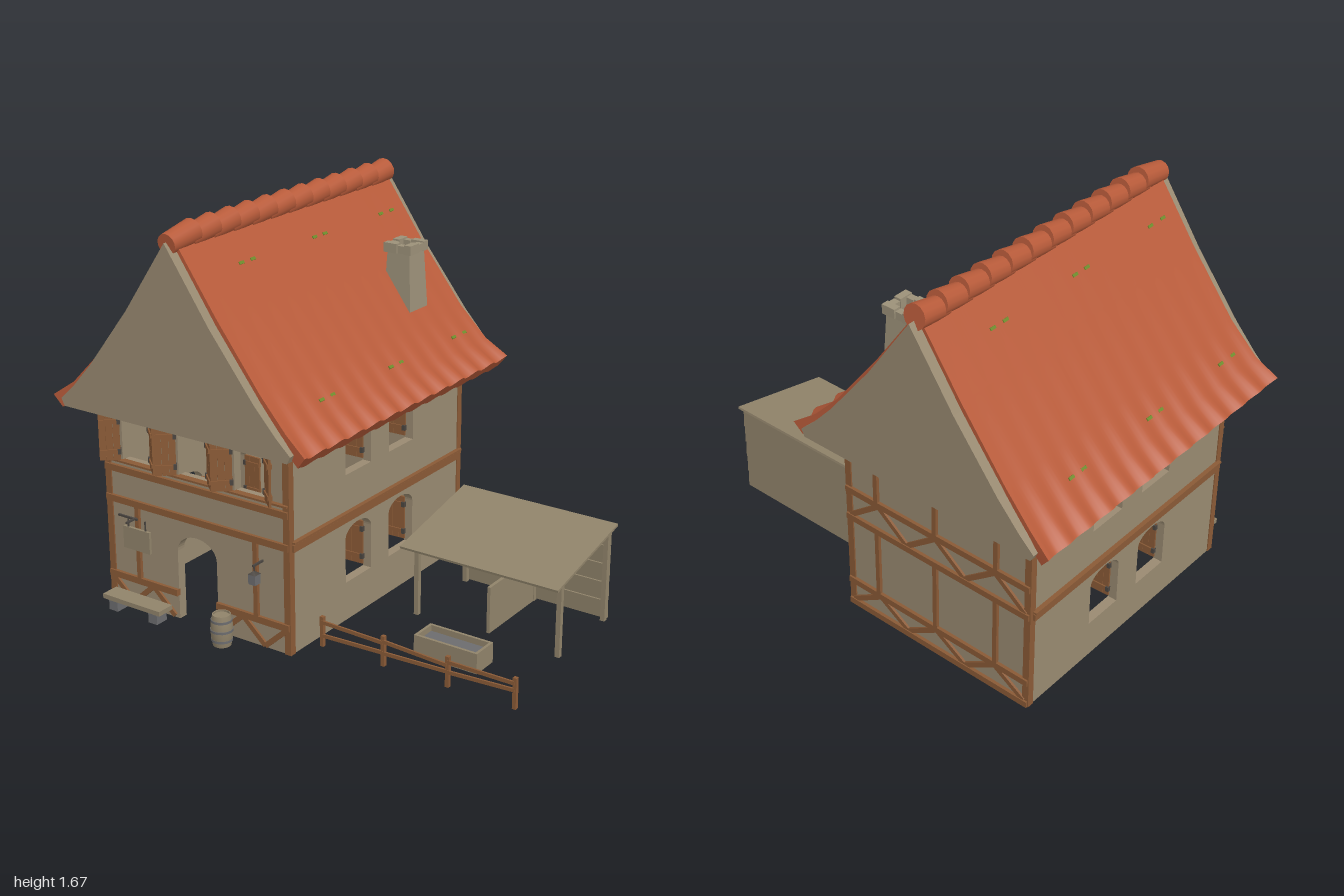
import * as THREE from 'three';
import { toCreasedNormals } from 'three/addons/utils/BufferGeometryUtils.js';

const mat = (name, color, side = THREE.FrontSide) =>
  Object.assign(new THREE.MeshStandardMaterial({ color, side }), { name });
const plaster = mat('plaster', 0x998a71);
const wood = mat('timber', 0x8a5a36);
const boards = mat('weathered boards', 0x90836a);
const tile = mat('roof tile', 0xb85b3a, THREE.DoubleSide);
const stone = mat('chimney stone', 0x9c9179, THREE.DoubleSide);
const iron = mat('iron', 0x4a4540);
const grey = mat('grey stone', 0x6c6c6e);
const moss = mat('moss', 0x6c8a2c);

const HOUSE_X = -0.39;

function add(parent, name, geo, material, x = 0, y = 0, z = 0) {
  const m = new THREE.Mesh(geo, material);
  m.name = name;
  m.position.set(x, y, z);
  parent.add(m);
  return m;
}
const box = (p, name, m, w, h, d, x, y, z) => add(p, name, new THREE.BoxGeometry(w, h, d), m, x, y, z);
function group(parent, name, x = 0, y = 0, z = 0, ry = 0) {
  const g = new THREE.Group();
  g.name = name;
  g.position.set(x, y, z);
  g.rotation.y = ry;
  parent.add(g);
  return g;
}
// straight bar between two points in the xy plane
function bar(p, name, m, x1, y1, x2, y2, w = 0.028, d = 0.02, z = 0.004) {
  const b = box(p, name, m, Math.hypot(x2 - x1, y2 - y1), w, d, (x1 + x2) / 2, (y1 + y2) / 2, z);
  b.rotation.z = Math.atan2(y2 - y1, x2 - x1);
  return b;
}
// arched opening: [centre, width, bottom, spring line, rise]
function arch([cx, w, y0, y1, rise]) {
  const p = new THREE.Path();
  p.moveTo(cx - w / 2, y0);
  p.lineTo(cx + w / 2, y0);
  p.lineTo(cx + w / 2, y1);
  p.absellipse(cx, y1, w / 2, rise, 0, Math.PI, false, 0);
  p.lineTo(cx - w / 2, y0);
  return p;
}
// wall with its outer face on local z = 0
function wall(parent, name, len, holes, x, z, ry, door) {
  const g = group(parent, name, x, 0, z, ry), h = len / 2, s = new THREE.Shape();
  s.moveTo(-h, 0);
  if (door) {
    const [cx, w, , y1, rise] = door;
    s.lineTo(cx - w / 2, 0);
    s.lineTo(cx - w / 2, y1);
    s.absellipse(cx, y1, w / 2, rise, Math.PI, 0, true, 0);
    s.lineTo(cx + w / 2, 0);
  }
  s.lineTo(h, 0); s.lineTo(h, 0.87); s.lineTo(-h, 0.87); s.closePath();
  s.holes = holes.map(arch);
  const geo = new THREE.ExtrudeGeometry(s, { depth: 0.04, bevelEnabled: false, curveSegments: 10 });
  add(g, name + 'Panel', geo.translate(0, 0, -0.04), plaster);
  return g;
}
// plank shutter hinged on its own origin, reaching along local +x
function shutter(parent, x, y, z, h, angle) {
  const g = group(parent, 'shutter', x, y, z, angle);
  for (let i = 0; i < 3; i++) box(g, 'shutterPlank', wood, 0.027, h, 0.01, 0.014 + i * 0.028, 0, 0);
  for (const k of [-0.32, 0.32]) {
    box(g, 'shutterBatten', wood, 0.08, 0.018, 0.02, 0.042, k * h, 0);
    box(g, 'hinge', iron, 0.014, 0.022, 0.024, 0.004, k * h, 0);
  }
}
function zigzag(g, x1, x2, n, y1, y2) {
  const s = (x2 - x1) / n;
  for (let i = 0; i < n; i++) {
    bar(g, 'brace', wood, x1 + i * s, i % 2 ? y2 : y1, x1 + (i + 1) * s, i % 2 ? y1 : y2, 0.022, 0.014, 0.003);
  }
}

function buildWalls(root) {
  const h = group(root, 'walls');
  const upper = [-0.29, 0, 0.28].map(x => [x, 0.16, 0.63, 0.815, 0.045]);
  const front = wall(h, 'frontWall', 0.92, upper, HOUSE_X, 0.61, 0, [0, 0.2, 0, 0.3, 0.078]);
  const back = wall(h, 'backWall', 0.92, [], HOUSE_X, -0.61, Math.PI);
  // front shutters swing outward
  for (const [x, w] of upper) {
    shutter(front, x - w / 2, 0.735, 0.012, 0.2, Math.PI + 0.72);
    shutter(front, x + w / 2, 0.735, 0.012, 0.2, -0.72);
  }
  // front timbers
  for (const y of [0.455, 0.59]) bar(front, 'frontBeam', wood, -0.46, y, 0.46, y);
  bar(front, 'windowSill', wood, -0.46, 0.627, 0.46, 0.627, 0.008, 0.03);
  for (const s of [-1, 1]) {
    bar(front, 'lowBeam', wood, s * 0.1, 0.117, s * 0.46, 0.117);
    bar(front, 'frontStud', wood, s * 0.3, 0.117, s * 0.3, 0.455, 0.02);
    zigzag(front, s * 0.12, s * 0.45, 3, 0.01, 0.11);
  }
  // back timbers
  for (const y of [0.014, 0.125, 0.455, 0.59, 0.845]) bar(back, 'backBeam', wood, -0.46, y, 0.46, y);
  for (const x of [-0.3, 0, 0.3]) {
    bar(back, 'backStud', wood, x, 0.125, x, 0.455, 0.02);
    bar(back, 'backStud', wood, x, 0.59, x, 0.845, 0.02);
  }
  zigzag(back, -0.44, 0.44, 6, 0.025, 0.118);
  zigzag(back, -0.44, 0.44, 6, 0.465, 0.58);
  // corner posts
  for (const sx of [-1, 1]) for (const sz of [-1, 1])
    box(h, 'cornerPost', wood, 0.03, 0.86, 0.03, HOUSE_X + sx * 0.449, 0.43, sz * 0.601);
  // side walls with shutters folded inward
  for (const s of [-1, 1]) {
    const holes = [];
    for (const c of [-0.153, 0.153]) holes.push([c, 0.178, 0.165, 0.355, 0.052], [c, 0.178, 0.63, 0.82, 0.045]);
    const side = wall(h, 'sideWall', 1.15, holes, HOUSE_X + s * 0.46, 0, s * Math.PI / 2);
    for (const [c, w, y0] of holes) {
      shutter(side, c - w / 2 + 0.003, y0 + 0.105, -0.035, 0.19, Math.PI / 2 - 0.04);
      shutter(side, c + w / 2 - 0.003, y0 + 0.105, -0.035, 0.19, Math.PI / 2 + 0.04);
    }
    bar(side, 'sideBeam', wood, -0.6, 0.45, 0.6, 0.45, 0.03);
    bar(side, 'sideLedge', wood, -0.6, 0.473, 0.6, 0.473, 0.008, 0.03);
  }
}

function buildRoof(root) {
  const roof = group(root, 'roof', HOUSE_X);
  // solid gable body
  const half = [[0.2, 1.315], [0.4, 1.06], [0.5, 0.95], [0.565, 0.89], [0.55, 0.86]];
  const pts = [[0, 1.605], ...half, ...half.map(([x, y]) => [-x, y]).reverse()];
  const s = new THREE.Shape(pts.map(p => new THREE.Vector2(...p)));
  add(roof, 'gableBody', new THREE.ExtrudeGeometry(s, { depth: 1.475, bevelEnabled: false }).translate(0, 0, -0.7375), plaster);
  // tiled slope: one cross-section repeated along z, waving near the eave
  const out = [[0, 1.63], [0.2, 1.345], [0.4, 1.085], [0.52, 0.955], [0.612, 0.882]];
  const ring = [...out, [0.577, 0.837], [0.487, 0.915], [0.365, 1.055], [0.165, 1.315], [0, 1.56]];
  const n = ring.length, steps = 96, pos = [], idx = [];
  for (let k = 0; k <= steps; k++) {
    const t = k / steps * 2 - 1, wave = Math.cos(t * Math.PI * 12);
    for (const [x, y] of ring) {
      const w = (x / 0.61) ** 6;
      pos.push(x + 0.008 * wave * w, y + 0.009 * wave * w, t * (0.695 + 0.028 * w));
    }
    for (let i = 0; i < n && k < steps; i++) {
      const a = k * n + i, b = k * n + (i + 1) % n;
      idx.push(a, a + n, b, b, a + n, b + n);
    }
  }
  for (const k of [0, steps]) for (let i = 0; i < n / 2 - 1; i++) {
    const a = k * n + i, c = k * n + n - 1 - i;
    idx.push(a, a + 1, c, a + 1, c - 1, c);
  }
  let geo = new THREE.BufferGeometry();
  geo.setAttribute('position', new THREE.Float32BufferAttribute(pos, 3));
  geo.setIndex(idx);
  geo = toCreasedNormals(geo, 0.7);
  for (const r of [0, Math.PI]) {
    const slope = group(roof, 'roofSlope', 0, 0, 0, r);
    add(slope, 'slopeTiles', geo, tile);
    // moss tufts
    for (const [x, y, a] of [[0.108, 1.477, 0.959], [0.478, 1.001, 0.825]])
      for (const z of [0.42, 0.35, -0.05, -0.12, -0.52, -0.6])
        box(slope, 'mossTuft', moss, 0.012, 0.006, 0.028, x, y, z).rotation.z = -a;
  }
  // overlapping ridge tiles
  const cap = new THREE.CylinderGeometry(0.042, 0.05, 0.15, 14).rotateX(Math.PI / 2);
  for (let i = 0; i < 12; i++) add(roof, 'ridgeTile', cap, tile, 0, 1.608, 0.648 - i * 0.1165).rotation.x = 0.15;
  // chimney: open tapered shaft with a ring of cap stones
  const ch = group(root, 'chimney', -0.088, 0, -0.418);
  add(ch, 'chimneyShaft', toCreasedNormals(
    new THREE.CylinderGeometry(0.076, 0.093, 0.25, 4, 1, true).rotateY(Math.PI / 4), 0.3), stone, 0, 1.255, 0);
  for (let i = 0; i < 4; i++) {
    const side = group(ch, 'capSide', 0, 1.39, 0, i * Math.PI / 2);
    box(side, 'capStone', stone, 0.062, 0.04, 0.032, -0.034, 0, 0.05);
    box(side, 'capStone', stone, 0.034, 0.032, 0.03, 0.018, -0.002, 0.049);
  }
}

function buildShed(root) {
  const shed = group(root, 'shed', 0.6);
  const roof = box(shed, 'shedRoof', boards, 0.715, 0.01, 0.495, 0, 0.368, -0.13);
  roof.rotation.x = 0.205;
  for (let i = 0; i < 5; i++)
    box(shed, 'wallPlank', boards, 0.67, 0.078, 0.012, 0, 0.045 + i * 0.08, -0.36).rotation.x = 0.05;
  for (const x of [-0.325, 0, 0.325]) box(shed, 'backPost', boards, 0.02, 0.4, 0.022, x, 0.2, -0.348);
  for (const x of [-0.325, 0.325]) box(shed, 'frontPost', boards, 0.02, 0.335, 0.02, x, 0.167, 0.03);
  box(shed, 'partition', boards, 0.014, 0.2, 0.36, 0, 0.1, -0.165);
}

function buildYard(root) {
  // fence
  const fence = group(root, 'fence', 0, 0, 0.475);
  const xs = [0.123, 0.41, 0.7, 0.99];
  xs.forEach((x, i) => {
    box(fence, 'fencePost', wood, 0.016, 0.128, 0.016, x, 0.064, 0);
    if (!i) return;
    bar(fence, 'topRail', wood, xs[i - 1], 0.106, x, [0, 0.1, 0.092, 0.106][i], 0.015, 0.008, 0.006);
    bar(fence, 'lowRail', wood, xs[i - 1], [0, 0.048, 0.056, 0.064][i], x, [0, 0.058, 0.066, 0.078][i], 0.015, 0.008, 0.006);
  });
  // water trough
  const tr = group(root, 'trough', 0.598, 0, 0.273);
  for (const s of [-1, 1]) {
    box(tr, 'troughSide', boards, 0.285, 0.085, 0.012, 0, 0.0425, s * 0.054);
    box(tr, 'troughEnd', boards, 0.012, 0.085, 0.1, s * 0.1365, 0.0425, 0);
  }
  box(tr, 'water', grey, 0.262, 0.05, 0.097, 0, 0.035, 0);
  // barrel
  const b = group(root, 'barrel', -0.21, 0, 0.688);
  const prof = [[0, 0], [0.037, 0], [0.043, 0.035], [0.045, 0.067], [0.043, 0.1], [0.037, 0.133], [0.033, 0.133], [0.033, 0.125], [0, 0.125]];
  add(b, 'barrelBody', toCreasedNormals(new THREE.LatheGeometry(prof.map(p => new THREE.Vector2(...p)), 16), 0.5), boards);
  for (const [y, r] of [[0.025, 0.043], [0.067, 0.0465], [0.108, 0.043]])
    add(b, 'barrelHoop', new THREE.CylinderGeometry(r, r, 0.01, 16), grey, 0, y, 0);
  // bench on stone blocks
  const bench = group(root, 'bench', -0.655, 0, 0.68);
  box(bench, 'benchSeat', boards, 0.3, 0.02, 0.08, 0, 0.058, 0);
  for (const x of [-0.105, 0.105]) box(bench, 'benchBlock', grey, 0.045, 0.048, 0.06, x, 0.024, 0);
  // hanging board
  const sign = group(root, 'hangingBoard', -0.683, 0, 0.632);
  box(sign, 'board', boards, 0.138, 0.095, 0.012, 0, 0.307, 0);
  box(sign, 'boardBracket', iron, 0.1, 0.008, 0.008, -0.045, 0.395, 0);
  box(sign, 'boardArm', iron, 0.008, 0.008, 0.07, -0.01, 0.395, 0.015);
  for (const x of [-0.045, 0.045]) box(sign, 'boardChain', iron, 0.005, 0.045, 0.005, x, 0.374, 0);
  // lantern
  const l = group(root, 'lantern', -0.06, 0, 0.665);
  box(l, 'lanternArm', iron, 0.008, 0.008, 0.065, 0, 0.37, -0.025);
  box(l, 'lanternChain', iron, 0.005, 0.035, 0.005, 0, 0.353, 0);
  box(l, 'lanternBody', grey, 0.034, 0.042, 0.034, 0, 0.315, 0);
  add(l, 'lanternCap', new THREE.ConeGeometry(0.026, 0.014, 4).rotateY(Math.PI / 4), iron, 0, 0.342, 0);
}

export function createModel() {
  const root = new THREE.Group();
  root.name = 'timberFramedHouse';
  buildWalls(root);
  buildRoof(root);
  buildShed(root);
  buildYard(root);
  return root;
}
